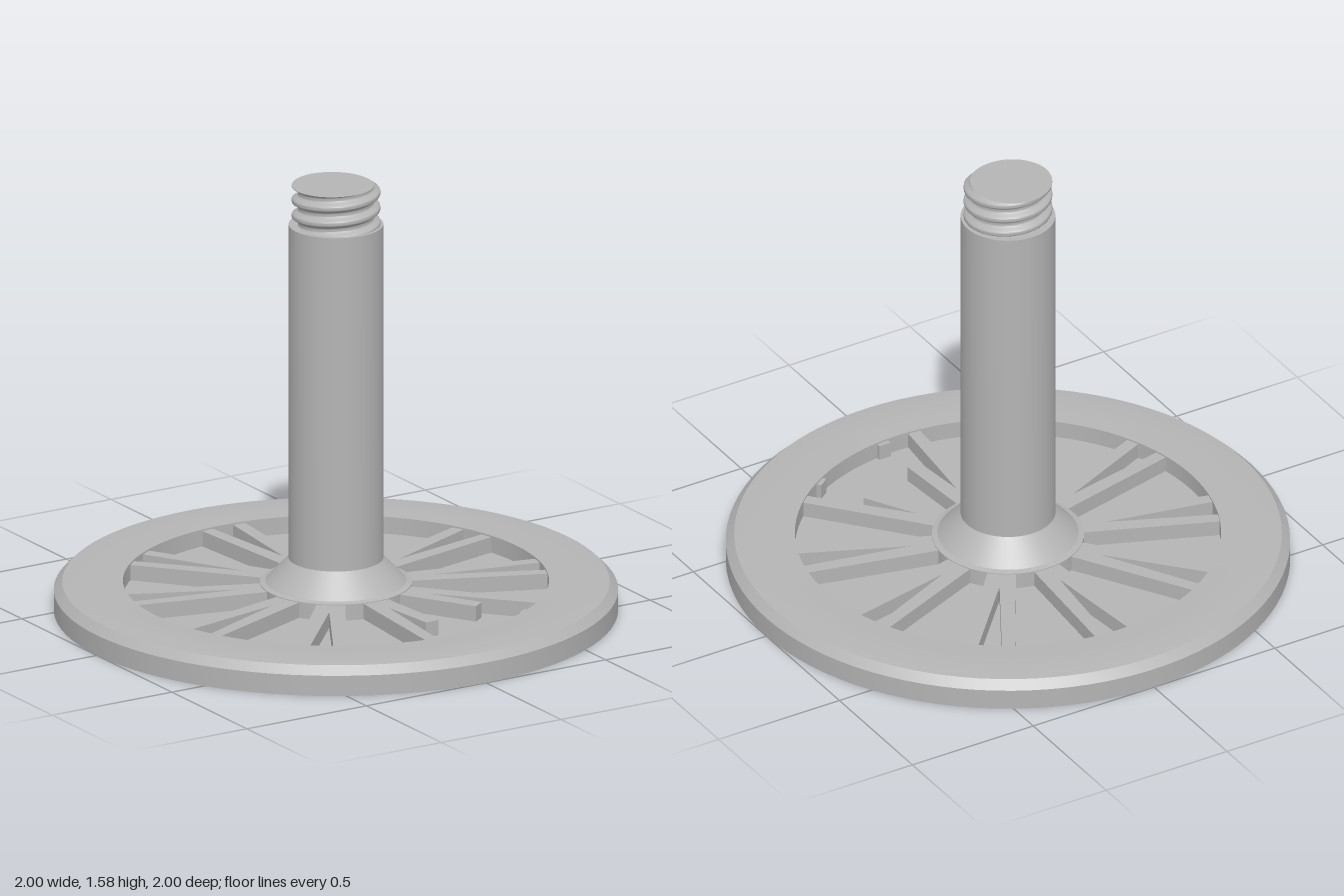
import * as THREE from 'three';
import { toCreasedNormals } from 'three/addons/utils/BufferGeometryUtils.js';

const FLOOR = 0.045, SPOKE_TOP = 0.102;

export function createModel() {
  const group = new THREE.Group();
  const grey = new THREE.MeshStandardMaterial({ color: 0xb4b4b4 });
  grey.name = 'plain grey';

  const add = (name, geometry, parent = group) => {
    const mesh = new THREE.Mesh(geometry, grey);
    mesh.name = name;
    parent.add(mesh);
    return mesh;
  };
  const lathe = (points) => toCreasedNormals(
    new THREE.LatheGeometry(points.map(([x, y]) => new THREE.Vector2(x, y)), 96), 0.35);

  // Disc with a raised, bevelled rim around a sunken floor
  add('wheelRim', lathe([[0, 0], [1, 0], [1, 0.075], [0.97, 0.105], [0.9, 0.112],
    [0.82, 0.11], [0.755, 0.108], [0.755, FLOOR], [0, FLOOR]]));

  // Hub, flared collar and axle
  add('hubAndAxle', lathe([[0.27, FLOOR], [0.27, 0.105], [0.25, 0.11], [0.168, 0.195],
    [0.168, 1.435], [0, 1.435]]));

  // Threaded tip: the radius follows a helix
  const low = 1.43, high = 1.58, pitch = 0.057;
  const thread = new THREE.CylinderGeometry(0.15, 0.15, high - low, 96, 40);
  thread.translate(0, (low + high) / 2, 0);
  const pos = thread.attributes.position;
  for (let i = 0; i < pos.count; i++) {
    const x = pos.getX(i), y = pos.getY(i), z = pos.getZ(i);
    if (Math.hypot(x, z) < 0.01) continue;
    const phase = (y - low) / pitch * Math.PI * 2 + Math.atan2(z, x);
    const r = 0.146 + 0.011 * THREE.MathUtils.clamp(1.4 * Math.sin(phase), -1, 1);
    const a = Math.atan2(z, x);
    pos.setXYZ(i, r * Math.cos(a), y, r * Math.sin(a));
  }
  thread.computeVertexNormals();
  add('threadedTip', thread);

  // Flat outlines pointing away from the hub, raised to spoke height
  const raise = (points) => {
    const shape = new THREE.Shape(points.map(([x, y]) => new THREE.Vector2(x, y)));
    const g = new THREE.ExtrudeGeometry(shape, { depth: SPOKE_TOP - FLOOR + 0.01, bevelEnabled: false });
    return g.rotateX(-Math.PI / 2).translate(0, FLOOR - 0.01, 0);
  };
  const outer = (r) => 0.05 + 0.04 * (r - 0.25) / 0.51;
  const inner = (r) => 0.043 * (r - 0.353) / 0.407;
  const leg = (s, end) => raise([[0, 0.25], [s * 0.05, 0.25], [s * outer(end), end],
    [s * inner(end), end], [0, 0.353]]);
  const stub = (s) => raise([[s * inner(0.735), 0.735], [s * outer(0.735), 0.735],
    [s * outer(0.76), 0.76], [s * inner(0.76), 0.76]]);

  // Ten forked spokes, two of them with a snapped leg
  const broken = { 5: -1, 6: 1 };
  for (let i = 0; i < 10; i++) {
    const spoke = new THREE.Group();
    spoke.name = 'forkedSpoke' + (i + 1);
    spoke.rotation.y = i * Math.PI / 5;
    for (const s of [-1, 1]) {
      const snapped = broken[i] === s;
      add('spokeLeg', leg(s, snapped ? 0.565 : 0.76), spoke);
      if (snapped) add('spokeStub', stub(s), spoke);
    }
    group.add(spoke);
  }
  return group;
}
